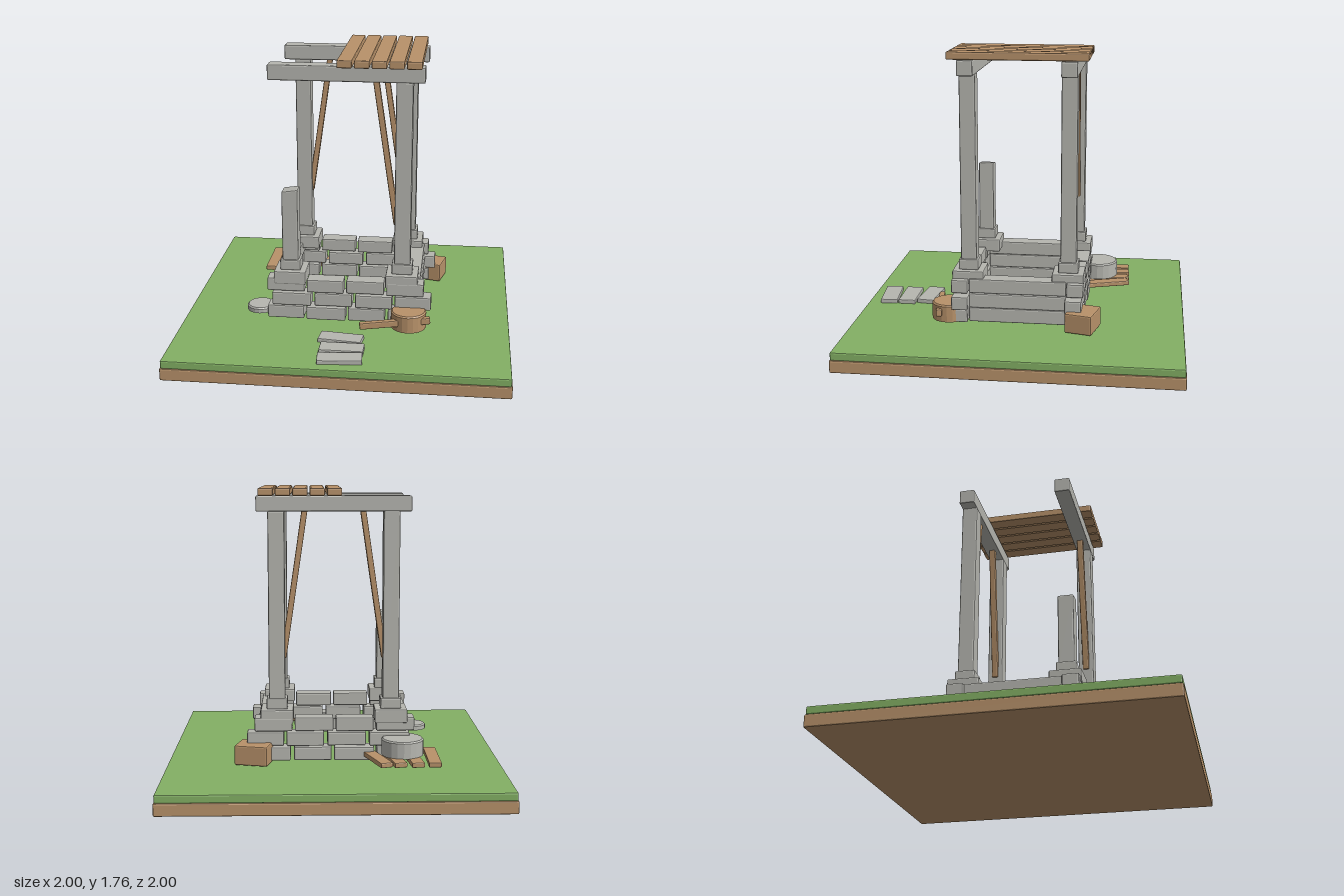
import * as THREE from 'three';
import { RoundedBoxGeometry } from 'three/addons/geometries/RoundedBoxGeometry.js';

const material = (name, color) => {
  const m = new THREE.MeshStandardMaterial({ color });
  m.name = name;
  return m;
};

export function createModel() {
  const stone = material('stone', 0xb6b6b0);
  const wood = material('wood', 0xb8926a);
  const grass = material('grass', 0x83b064);
  const model = new THREE.Group();

  const group = (name) => {
    const g = new THREE.Group();
    g.name = name;
    model.add(g);
    return g;
  };

  const add = (parent, name, geometry, mat, x, y, z) => {
    const mesh = new THREE.Mesh(geometry, mat);
    mesh.name = name;
    mesh.position.set(x, y, z);
    parent.add(mesh);
    return mesh;
  };

  // Box with small chamfers and flat faces, given by centre and size
  const block = (parent, name, mat, [x, y, z], [w, h, d], turn = 0) => {
    const bevel = Math.min(0.008, Math.min(w, h, d) * 0.2);
    const geo = new RoundedBoxGeometry(w, h, d, 1, bevel);
    geo.computeVertexNormals();
    const mesh = add(parent, name, geo, mat, x, y, z);
    mesh.rotation.y = turn;
    return mesh;
  };

  // Round drum with a chamfered top edge
  const drum = (parent, name, mat, [x, y, z], r, h) => {
    const b = Math.min(0.008, h * 0.25);
    const profile = [[0, 0], [r, 0], [r, h - b], [r - b, h], [0, h]].map(p => new THREE.Vector2(...p));
    const geo = new THREE.LatheGeometry(profile, 20).toNonIndexed();
    geo.computeVertexNormals();
    return add(parent, name, geo, mat, x, y, z);
  };

  // Ground
  const ground = group('ground');
  block(ground, 'soil', wood, [0, 0.0375, 0], [2, 0.075, 2]);
  block(ground, 'grass', grass, [0, 0.0975, 0], [1.99, 0.049, 1.99]);

  // Well walls: three courses, front and back in bricks, sides in long stones
  const walls = group('wellWalls');
  const courses = [
    [[-0.48, -0.255], [-0.24, 0], [0.015, 0.24], [0.26, 0.48]],
    [[-0.45, -0.21], [-0.19, 0.04], [0.06, 0.285], [0.3, 0.52]],
    [[-0.48, -0.25], [-0.235, -0.01], [0.005, 0.235], [0.25, 0.475]],
  ];
  courses.forEach((bricks, row) => {
    const y = 0.18 + row * 0.09;
    for (const side of [-1, 1]) {
      bricks.forEach(([a, b], i) => {
        const shift = ((i + row) % 2) * 0.008;
        block(walls, 'brick', stone, [(a + b) / 2, y, side * (0.338 + shift)], [b - a, 0.082, 0.1]);
      });
      block(walls, 'sideStone', stone, [side * (0.4 + (row % 2) * 0.006), y, 0], [0.1, 0.088, 0.585]);
    }
  });

  // Posts on stepped bases; the front right one is broken off
  const posts = group('posts');
  for (const sx of [-1, 1]) {
    for (const sz of [-1, 1]) {
      const x = sx * 0.34, z = sz * 0.3;
      const broken = sx < 0 && sz > 0;
      const top = broken ? 0.95 : 1.625;
      block(posts, 'postBase', stone, [x, 0.407, z], [0.195, 0.082, 0.19]);
      block(posts, 'postCollar', stone, [x, 0.478, z], [0.125, 0.066, 0.12]);
      const post = block(posts, broken ? 'brokenPost' : 'post', stone, [x, (0.5 + top) / 2, z], [0.098, top - 0.5, 0.096]);
      if (broken) {
        // Sloping break at the top
        const p = post.geometry.attributes.position;
        for (let i = 0; i < p.count; i++) {
          if (p.getY(i) > 0) p.setY(i, p.getY(i) + p.getX(i) * 0.15);
        }
        post.geometry.computeVertexNormals();
      }
    }
  }

  // Roof beams and the remaining planks
  const roof = group('roof');
  for (const sz of [-1, 1]) block(roof, 'beam', stone, [0, 1.667, sz * 0.302], [0.915, 0.092, 0.095]);
  for (let i = 0; i < 5; i++) {
    block(roof, 'roofPlank', wood, [i * 0.1 - 0.002, 1.736, 0], [0.088, 0.046, 0.825]);
  }

  // Slanted braces on the three whole posts
  const braces = group('braces');
  for (const [sx, sz] of [[1, 1], [1, -1], [-1, -1]]) {
    const brace = block(braces, 'brace', wood, [sx * 0.235, 1.2, sz * 0.3], [0.035, 0.91, 0.04]);
    brace.rotation.z = sx * 0.146;
  }

  // Fallen stone discs and planks
  const rubble = group('rubble');
  drum(rubble, 'largeDisc', stone, [-0.405, 0.19, -0.438], 0.125, 0.1);
  drum(rubble, 'smallDisc', stone, [-0.535, 0.163, 0.308], 0.085, 0.034);
  const fallen = [[-0.58, -0.465, 0], [-0.462, -0.47, 0.12], [-0.345, -0.47, 0.22], [-0.245, -0.475, 0.33]];
  for (const [x, z, turn] of fallen) {
    block(rubble, 'fallenPlank', wood, [x, 0.177, z], [0.075, 0.03, 0.345], turn);
  }

  // Flat paving slabs in front
  for (const [x, z, turn] of [[0, 0.62, -0.11], [0.02, 0.748, 0], [0.022, 0.873, 0.085]]) {
    block(rubble, 'pavingSlab', stone, [x, 0.132, z], [0.26, 0.03, 0.108], turn);
  }

  // Crate at the back and the wooden mallet at the front
  block(rubble, 'crate', wood, [0.477, 0.19, -0.395], [0.2, 0.118, 0.165], -0.24);
  const mallet = group('mallet');
  drum(mallet, 'malletHead', wood, [0.388, 0.14, 0.42], 0.107, 0.105);
  const handle = block(mallet, 'malletHandle', wood, [0.31, 0.19, 0.494], [0.425, 0.042, 0.036], 0.145);
  handle.rotation.z = 0.07;

  return model;
}
